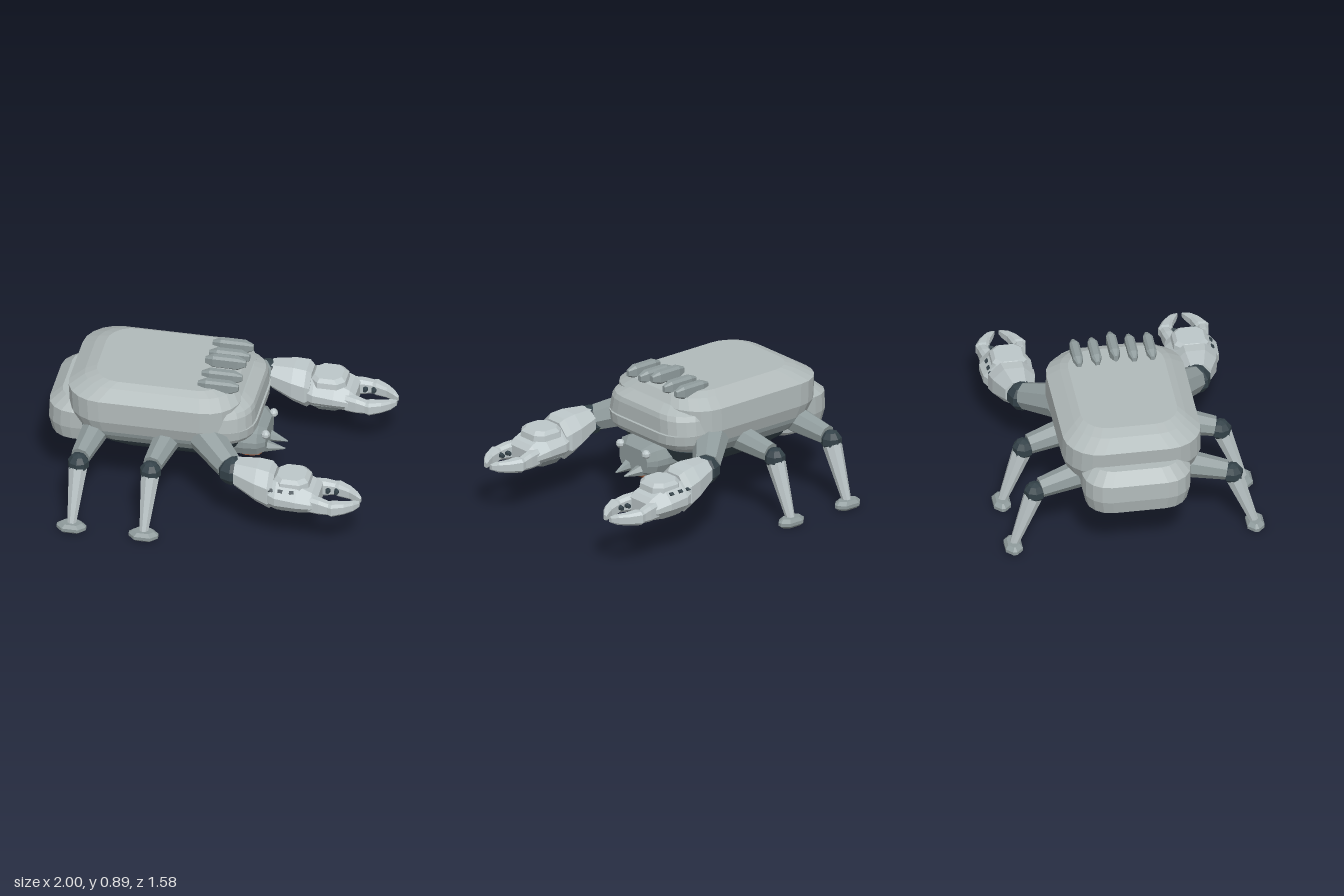
import * as THREE from 'three';

const mat = (name, color) => {
  const m = new THREE.MeshStandardMaterial({ color, flatShading: true });
  m.name = name;
  return m;
};

// Corner-rounded ring around the y axis; n = segments per corner
function ring([y, cx, cz, hx, hz, r], n) {
  const pts = [];
  [[1, 1], [-1, 1], [-1, -1], [1, -1]].forEach(([sx, sz], q) => {
    for (let i = 0; i <= n; i++) {
      const a = (q + i / n) * Math.PI / 2;
      pts.push([cx + sx * (hx - r) + r * Math.cos(a), y, cz + sz * (hz - r) + r * Math.sin(a)]);
    }
  });
  return pts;
}

// Closed skin over rings [along, c1, c2, h1, h2, r].
// axis 'y': c1/h1 = x, c2/h2 = z.  axis 'x': c1/h1 = z, c2/h2 = y.
function loft(rings, n = 1, axis = 'y') {
  const pos = [], idx = [], k = 4 * (n + 1);
  const add = p => pos.push(...(axis === 'x' ? [p[1], p[2], p[0]] : p));
  rings.forEach(r => ring(r, n).forEach(add));
  for (let i = 0; i < rings.length - 1; i++) {
    for (let j = 0; j < k; j++) {
      const a = i * k + j, b = i * k + (j + 1) % k;
      idx.push(a, a + k, b, b, a + k, b + k);
    }
  }
  const last = (rings.length - 1) * k, c = rings.length * k;
  [rings[0], rings[rings.length - 1]].forEach(r => add([r[1], r[0], r[2]]));
  for (let j = 0; j < k; j++) {
    const m = (j + 1) % k;
    idx.push(c, j, m, c + 1, last + m, last + j);
  }
  const g = new THREE.BufferGeometry();
  g.setAttribute('position', new THREE.Float32BufferAttribute(pos, 3));
  g.setIndex(idx);
  const flat = g.toNonIndexed();
  flat.computeVertexNormals();
  return flat;
}

// Ring given by its x extent instead of centre and half width
const span = (y, x0, x1, hz, r) => [y, (x0 + x1) / 2, 0, (x1 - x0) / 2, hz, r];

export function createModel() {
  const shell = mat('shell grey', 0xb0b9b9);
  const pale = mat('pale grey', 0xbcc6c8);
  const steel = mat('steel grey', 0x8f9b9c);
  const dark = mat('dark blue grey', 0x344249);
  const copper = mat('copper', 0x8c5238);

  const model = new THREE.Group();
  const put = (name, geo, m, parent = model) => {
    const mesh = new THREE.Mesh(geo, m);
    mesh.name = name;
    parent.add(mesh);
    return mesh;
  };
  // Tapered prism between two points
  const limb = (name, a, b, ra, rb, m, parent, sides = 8) => {
    const p = new THREE.Vector3(...a), q = new THREE.Vector3(...b), d = q.clone().sub(p);
    const mesh = put(name, new THREE.CylinderGeometry(rb, ra, d.length(), sides), m, parent);
    mesh.position.copy(p).add(q).multiplyScalar(0.5);
    mesh.quaternion.setFromUnitVectors(new THREE.Vector3(0, 1, 0), d.normalize());
    return mesh;
  };
  const ball = (name, p, r, m, parent) => {
    const mesh = put(name, new THREE.SphereGeometry(r, 8, 5), m, parent);
    mesh.position.set(...p);
    return mesh;
  };

  // Body
  put('shell', loft([
    span(0.52, -0.82, 0.17, 0.40, 0.2), span(0.60, -0.86, 0.2, 0.425, 0.22),
    span(0.74, -0.87, 0.2, 0.42, 0.22), span(0.795, -0.78, 0.15, 0.34, 0.19),
    span(0.82, -0.71, 0.09, 0.295, 0.16)], 5), shell);
  put('frontLip', loft([
    span(0.595, -0.5, 0.28, 0.395, 0.19), span(0.68, -0.5, 0.275, 0.38, 0.19),
    span(0.71, -0.5, 0.265, 0.365, 0.19), span(0.75, -0.5, 0.2, 0.31, 0.17)], 5), shell);
  put('frontBand', loft([
    span(0.46, -0.5, 0.2, 0.33, 0.16), span(0.50, -0.5, 0.265, 0.365, 0.18),
    span(0.53, -0.5, 0.285, 0.38, 0.19), span(0.59, -0.5, 0.29, 0.385, 0.19)], 5), shell);
  put('skirt', loft([
    span(0.44, -0.74, 0.17, 0.36, 0.18), span(0.49, -0.82, 0.2, 0.39, 0.2),
    span(0.53, -0.82, 0.2, 0.40, 0.2)], 5), steel);
  put('belly', loft([
    span(0.305, -0.6, 0.06, 0.2, 0.12), span(0.39, -0.69, 0.17, 0.31, 0.16),
    span(0.46, -0.7, 0.2, 0.36, 0.18)], 4), dark);
  put('rearPod', loft([
    span(0.345, -0.91, -0.6, 0.25, 0.12), span(0.38, -0.98, -0.58, 0.31, 0.15),
    span(0.47, -1.0, -0.58, 0.33, 0.16), span(0.58, -0.995, -0.58, 0.33, 0.16),
    span(0.645, -0.92, -0.6, 0.27, 0.13)], 4), shell);

  // Ridges on the back
  for (let i = -2; i <= 2; i++) {
    const y = i ? 0.826 : 0.855, z = [0, 0.113, 0.225][Math.abs(i)] * Math.sign(i);
    put('backRidge', loft([
      [-0.07, z, y, 0.012, 0.02, 0.006], [-0.02, z, y, 0.03, 0.04, 0.014],
      [0.13, z, y, 0.03, 0.04, 0.014], [0.18, z, y, 0.012, 0.02, 0.006]], 1, 'x'), steel);
  }

  // Head
  const head = new THREE.Group();
  head.name = 'head';
  model.add(head);
  put('skull', loft([
    [0.05, 0, 0.385, 0.17, 0.09, 0.06], [0.2, 0, 0.385, 0.185, 0.1, 0.08],
    [0.28, 0, 0.385, 0.18, 0.098, 0.08], [0.325, 0, 0.375, 0.13, 0.075, 0.06]], 2, 'x'), steel, head);
  put('mouth', loft([
    span(0.25, 0.155, 0.28, 0.08, 0.05), span(0.27, 0.135, 0.3, 0.113, 0.06),
    span(0.30, 0.14, 0.29, 0.11, 0.06)], 2), copper, head);
  for (const s of [1, -1]) {
    ball('eye', [0.325, 0.44, 0.12 * s], 0.028, pale, head);
    limb('fang', [0.29, 0.32, 0.06 * s], [0.43, 0.30, 0.04 * s], 0.045, 0.004, steel, head, 6);
  }

  // Legs
  const leg = (x, s) => {
    const g = new THREE.Group();
    g.name = 'leg';
    model.add(g);
    const knee = [x, 0.41, 0.605 * s];
    limb('thigh', [x + 0.05, 0.48, 0.33 * s], [x + 0.005, 0.435, 0.57 * s], 0.085, 0.062, steel, g);
    ball('knee', knee, 0.068, dark, g);
    limb('shin', [x, 0.385, 0.615 * s], [x - 0.015, 0.05, 0.735 * s], 0.06, 0.028, pale, g);
    put('foot', loft([
      [0.008, x - 0.015, 0.74 * s, 0.07, 0.035, 0.03], [0.025, x - 0.015, 0.74 * s, 0.09, 0.052, 0.04],
      [0.045, x - 0.015, 0.74 * s, 0.09, 0.052, 0.04], [0.065, x - 0.015, 0.74 * s, 0.065, 0.035, 0.03]], 1), steel, g);
  };

  // Arms with pincers
  const arm = s => {
    const g = new THREE.Group();
    g.name = 'arm';
    model.add(g);
    const along = (name, rings, m) =>
      put(name, loft(rings.map(([x, z, ...rest]) => [x, z * s, ...rest]), 1, 'x'), m, g);
    limb('upperArm', [0.0, 0.53, 0.34 * s], [0.18, 0.455, 0.515 * s], 0.11, 0.085, steel, g);
    ball('elbow', [0.205, 0.44, 0.535 * s], 0.092, dark, g);
    along('forearm', [
      [0.23, 0.545, 0.44, 0.085, 0.08, 0.045], [0.37, 0.555, 0.405, 0.13, 0.12, 0.07],
      [0.45, 0.56, 0.385, 0.14, 0.13, 0.075], [0.48, 0.56, 0.38, 0.12, 0.11, 0.07]], pale);
    along('palm', [
      [0.43, 0.565, 0.37, 0.12, 0.09, 0.06], [0.5, 0.568, 0.365, 0.152, 0.1, 0.075],
      [0.63, 0.568, 0.36, 0.158, 0.095, 0.075], [0.72, 0.565, 0.345, 0.14, 0.07, 0.055],
      [0.755, 0.562, 0.34, 0.115, 0.045, 0.035]], pale);
    put('palmPlate', loft([
      [0.43, 0.585, 0.557 * s, 0.11, 0.11, 0.05], [0.465, 0.585, 0.557 * s, 0.105, 0.105, 0.045],
      [0.487, 0.58, 0.557 * s, 0.085, 0.085, 0.04]], 1), pale, g);
    put('palmUnderside', loft([
      [0.258, 0.58, 0.56 * s, 0.09, 0.08, 0.04], [0.3, 0.58, 0.56 * s, 0.14, 0.11, 0.06]], 1), steel, g);
    for (const x of [0.47, 0.53, 0.6]) {
      const slot = put('vent', new THREE.BoxGeometry(0.028, 0.02, 0.008), dark, g);
      slot.position.set(x, 0.427, 0.687 * s);
      slot.rotation.x = -Math.PI / 4 * s;
    }
    // Fingers curve towards each other; f = +1 outer, -1 inner
    for (const f of [1, -1]) {
      const z = d => 0.56 + f * d;
      along('fingerBase', [
        [0.7, z(0.09), 0.342, 0.04, 0.055, 0.02], [0.77, z(0.105), 0.34, 0.037, 0.05, 0.018],
        [0.84, z(0.115), 0.336, 0.032, 0.038, 0.016]], pale);
      along('fingerTip', [
        [0.815, z(0.113), 0.336, 0.03, 0.036, 0.014], [0.85, z(0.112), 0.335, 0.042, 0.044, 0.018],
        [0.92, z(0.085), 0.333, 0.033, 0.036, 0.014], [0.97, z(0.05), 0.331, 0.025, 0.03, 0.011],
        [1.0, z(0.024), 0.33, 0.012, 0.016, 0.005]], pale);
      for (const x of [0.786, 0.84]) {
        limb('tooth', [x, 0.34, z(0.085) * s], [x, 0.34, z(0.045) * s], 0.02, 0.012, dark, g, 6);
      }
    }
  };

  for (const s of [1, -1]) {
    leg(-0.73, s);
    leg(-0.285, s);
    arm(s);
  }
  return model;
}
